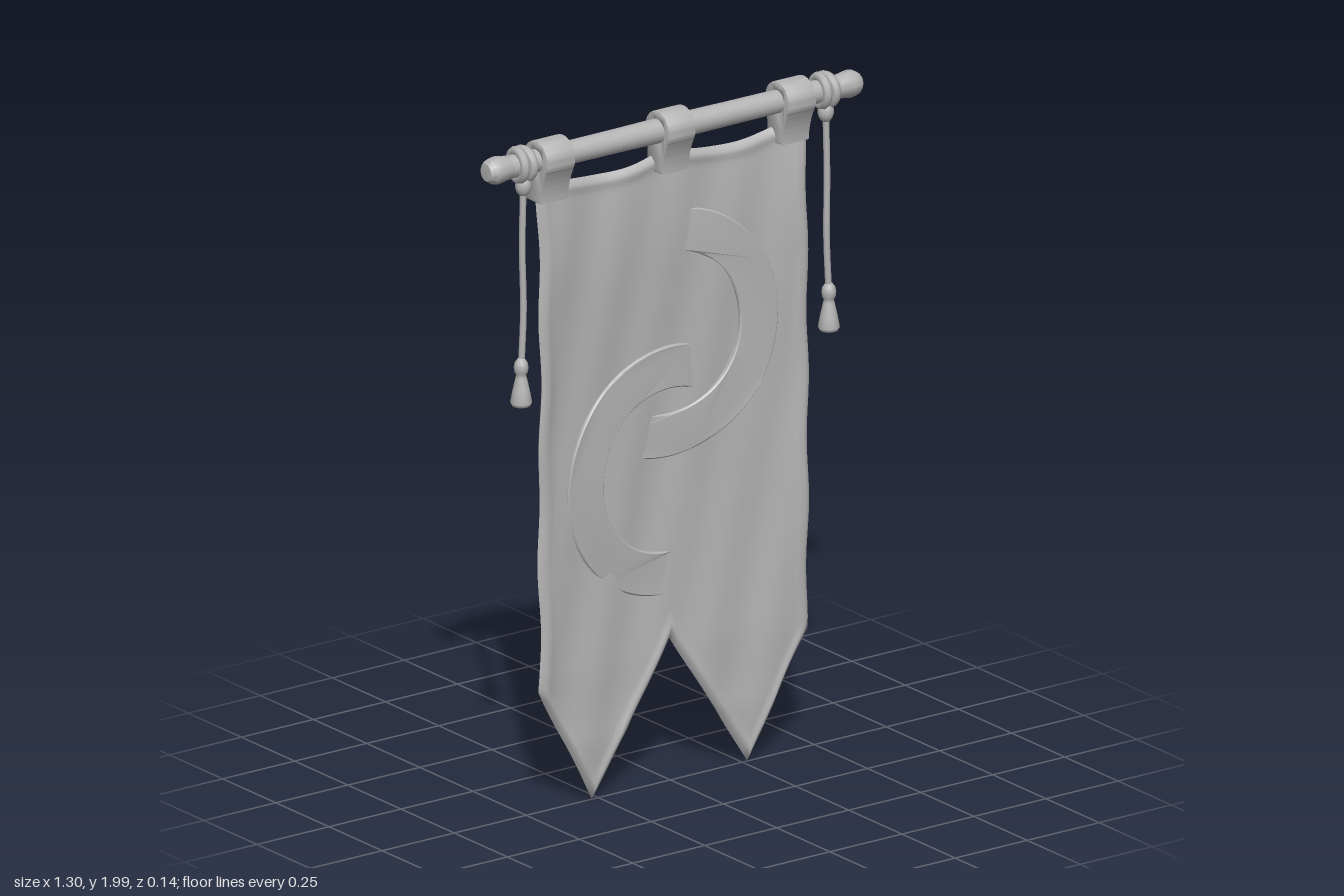
import * as THREE from 'three';
import { toCreasedNormals } from 'three/addons/utils/BufferGeometryUtils.js';

const ROD_Y = 1.945, ROD_Z = 0.008;
const HALF = 0.465;

const clamp01 = (t) => Math.min(1, Math.max(0, t));
const lerp = THREE.MathUtils.lerp;

// Outline of the cloth: sagging top edge, swallow-tail bottom edge
function topEdge(x) {
  const t = Math.abs(x) / 0.42;
  return 1.875 - 0.03 * Math.sin(Math.PI * clamp01(t));
}
function bottomEdge(x) {
  const a = Math.abs(x);
  return a < 0.27 ? lerp(0.43, 0.01, a / 0.27) : lerp(0.01, 0.37, (a - 0.27) / (HALF - 0.27));
}

// Middle surface of the cloth: hollow centre plus soft folds
function clothZ(x, y) {
  const across = 1 - (x / HALF) ** 2;
  const belly = Math.sin(Math.PI * clamp01((y - 0.2) / 1.75)) ** 0.6;
  const hang = clamp01((y - 1.5) / 0.37);
  const tail = clamp01((0.4 - y) / 0.4);
  return 0.014 - 0.036 * across * belly - 0.024 * hang * hang - 0.02 * tail
    + 0.004 * Math.sin(x * 19 + y * 4) * Math.sin(y * 5.3 + 1)
    + 0.003 * Math.sin(x * 31 - y * 7)
    + 0.006 * hang * Math.cos(x * 15);
}

// Closed cloth sheet with a thickened hem, thinning to a rounded rim
function clothGeometry() {
  const xs = [], vs = [];
  const stops = [-HALF, -0.459, -0.445, -0.41, -0.27, 0, 0.27, 0.41, 0.445, 0.459, HALF];
  const steps = [1, 1, 2, 7, 14, 14, 7, 2, 1, 1];
  steps.forEach((n, i) => {
    for (let k = 0; k < n; k++) xs.push(lerp(stops[i], stops[i + 1], k / n));
  });
  xs.push(HALF);
  const rows = 72;
  for (let j = 0; j <= rows; j++) {
    const t = j / rows;
    vs.push(lerp(t, 0.5 - 0.5 * Math.cos(Math.PI * t), 0.7));
  }
  const pos = [], idx = [], nx = xs.length, ny = vs.length;
  for (const side of [1, -1]) {
    for (const v of vs) for (const x of xs) {
      const top = topEdge(x), low = bottomEdge(x), y = lerp(top, low, v);
      const d = Math.max(0, Math.min(HALF - Math.abs(x), top - y, (y - low) * 0.6));
      const hem = 0.006 * Math.exp(-(((d - 0.022) / 0.014) ** 2));
      const half = Math.sqrt(clamp01(d / 0.015)) * (0.01 + hem);
      const wobble = 0.004 * Math.sin(y * 17 + x * 3) * clamp01((Math.abs(x) - 0.3) / 0.15);
      pos.push(x + wobble, y, clothZ(x, y) + side * half);
    }
  }
  for (let s = 0; s < 2; s++) for (let j = 0; j < ny - 1; j++) for (let i = 0; i < nx - 1; i++) {
    const a = s * nx * ny + j * nx + i, b = a + 1, c = a + nx, d = c + 1;
    if (s === 0) idx.push(a, c, b, b, c, d);
    else idx.push(a, b, c, b, d, c);
  }
  const g = new THREE.BufferGeometry();
  g.setAttribute('position', new THREE.Float32BufferAttribute(pos, 3));
  g.setIndex(idx);
  g.computeVertexNormals();
  return g;
}

// Flat ring, tilted so one side sinks through the cloth
function ringGeometry(cy, tilt) {
  const shape = new THREE.Shape().absarc(0, 0, 0.362, 0, Math.PI * 2);
  shape.holes.push(new THREE.Path().absarc(0, 0, 0.243, 0, Math.PI * 2, true));
  const g = new THREE.ExtrudeGeometry(shape, {
    depth: 0.036, curveSegments: 56, bevelSize: 0.004, bevelThickness: 0.004, bevelSegments: 1,
  });
  const p = g.attributes.position;
  for (let i = 0; i < p.count; i++) {
    const x = p.getX(i), y = p.getY(i);
    const ripple = 0.003 * Math.sin(x * 13 + y * 9 + cy * 5);
    p.setXYZ(i, x, y + cy, p.getZ(i) - 0.046 + tilt * x / 0.365 + ripple);
  }
  return toCreasedNormals(g, 0.6);
}

// Strap folded over the rod, drawn in the z-y plane
function strapGeometry(width) {
  const s = new THREE.Shape();
  s.absarc(0, 0, 0.054, -0.45, Math.PI + 0.45, false);
  s.bezierCurveTo(-0.045, -0.05, -0.045, -0.07, -0.043, -0.122);
  s.lineTo(0.02, -0.122);
  s.bezierCurveTo(0.022, -0.08, 0.035, -0.05, 0.0486, -0.0235);
  s.holes.push(new THREE.Path().absarc(0, 0, 0.034, 0, Math.PI * 2, true));
  const g = new THREE.ExtrudeGeometry(s, {
    depth: width - 0.01, curveSegments: 14, bevelSize: 0.003, bevelThickness: 0.005, bevelSegments: 2,
  });
  g.translate(0, 0, -(width - 0.01) / 2).rotateY(-Math.PI / 2);
  return toCreasedNormals(g, 0.7);
}

const lathe = (pts, n) => new THREE.LatheGeometry(pts.map(([r, y]) => new THREE.Vector2(r, y)), n);

export function createModel() {
  const stone = new THREE.MeshStandardMaterial({ color: 0xb4b4b4 });
  stone.name = 'plain grey';
  const model = new THREE.Group();
  model.name = 'hangingBanner';
  const add = (parent, name, geo, x = 0, y = 0, z = 0) => {
    const m = new THREE.Mesh(geo, stone);
    m.name = name;
    m.position.set(x, y, z);
    parent.add(m);
    return m;
  };

  add(model, 'cloth', clothGeometry());
  add(model, 'upperRing', ringGeometry(1.33, 0.024));
  add(model, 'lowerRing', ringGeometry(0.927, -0.024));

  // Rod with swollen end caps
  const rodGeo = lathe([[0.033, -0.57], [0.034, -0.2], [0.036, 0], [0.034, 0.2], [0.033, 0.57]], 16);
  add(model, 'rod', rodGeo.rotateZ(-Math.PI / 2), 0, ROD_Y, ROD_Z);
  const capGeo = toCreasedNormals(
    lathe([[0, 0], [0.031, 0], [0.033, 0.01], [0.04, 0.055], [0.037, 0.075], [0.026, 0.09], [0, 0.092]], 10), 0.7);

  // Straps
  for (const [x, w] of [[-0.425, 0.098], [-0.005, 0.094], [0.412, 0.096]]) {
    add(model, 'strap', strapGeometry(w), x, ROD_Y, ROD_Z);
  }

  // End cap, wound cord, hanging cord and tassel on each side
  const tasselGeo = lathe([
    [0, 0], [0.026, 0.002], [0.031, 0.012], [0.025, 0.045], [0.016, 0.085], [0.014, 0.094],
    [0.019, 0.1], [0.021, 0.116], [0.018, 0.13], [0.009, 0.142], [0, 0.144]], 14);
  for (const side of [-1, 1]) {
    const cap = add(model, 'rodEndCap', capGeo, side * 0.556, ROD_Y, ROD_Z);
    cap.rotation.z = -side * Math.PI / 2;

    const cord = new THREE.Group();
    cord.name = side > 0 ? 'leftCord' : 'rightCord';
    cord.position.set(side * 0.525, 0, ROD_Z);
    model.add(cord);
    for (const k of [-1, 1]) {
      const coil = add(cord, 'coil', new THREE.TorusGeometry(0.041, 0.0135, 8, 24), k * 0.011, ROD_Y, 0);
      coil.rotation.y = Math.PI / 2 + k * 0.1;
    }
    const knot = add(cord, 'knot', new THREE.SphereGeometry(0.025, 12, 10), 0, 1.885, 0.012);
    knot.scale.set(0.95, 1.25, 0.9);
    const path = new THREE.CatmullRomCurve3([
      new THREE.Vector3(0, 1.88, 0.012), new THREE.Vector3(side * 0.004, 1.7, 0.012),
      new THREE.Vector3(side * 0.001, 1.52, 0.014), new THREE.Vector3(side * 0.008, 1.36, 0.014)]);
    add(cord, 'hangingCord', new THREE.TubeGeometry(path, 16, 0.0095, 8), 0, 0, 0);
    add(cord, 'tassel', tasselGeo, side * 0.009, 1.235, 0.014);
  }
  return model;
}
